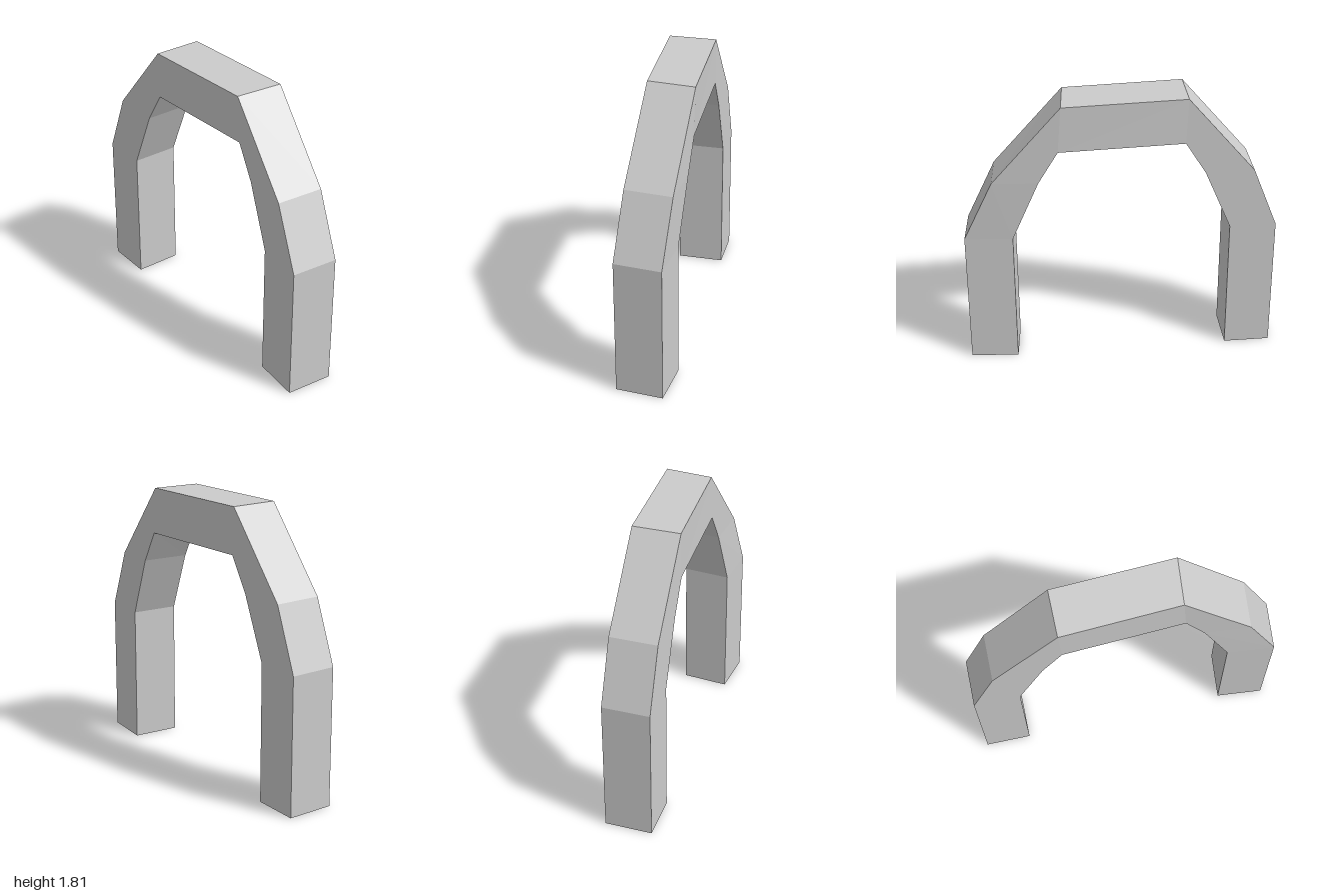
import * as THREE from 'three';

// Cross-sections along the arch: outer x, inner x, y outer, y inner,
// then front z (outer, inner) and the offset (x, z) from front edge to back edge.
const SECTIONS = [
  { xo: -1, xi: -0.7, yo: 0, yi: 0, zo: 0.165, zi: 0.165, back: [0, -0.305] },
  { xo: -1, xi: -0.7, yo: 0.9, yi: 0.9, zo: 0.165, zi: 0.165, back: [0, -0.305] },
  { xo: -0.843, xi: -0.53, yo: 1.3, yi: 1.3, zo: 0.165, zi: 0.165, back: [0, -0.305] },
  { xo: -0.413, xi: -0.4, yo: 1.81, yi: 1.51, zo: 0.165, zi: 0.165, back: [0, -0.305] },
  // the far half is turned slightly about the vertical
  { xo: 0.347, xi: 0.37, yo: 1.81, yi: 1.51, zo: 0.122, zi: 0.124, back: [0.028, -0.303] },
  { xo: 0.788, xi: 0.497, yo: 1.3, yi: 1.3, zo: 0.157, zi: 0.134, back: [0.026, -0.305] },
  { xo: 0.973, xi: 0.667, yo: 0.9, yi: 0.9, zo: 0.18, zi: 0.153, back: [0.027, -0.303] },
  { xo: 0.973, xi: 0.667, yo: 0, yi: 0, zo: 0.18, zi: 0.153, back: [0.027, -0.303] },
];

// Four corners: outer front, outer back, inner back, inner front
function ring({ xo, xi, yo, yi, zo, zi, back: [bx, bz] }) {
  return [
    [xo, yo, zo],
    [xo + bx, yo, zo + bz],
    [xi + bx, yi, zi + bz],
    [xi, yi, zi],
  ];
}

// Skin consecutive rings with flat quads and close both ends
function loft(rings) {
  const pos = [];
  const quad = (a, b, c, d) => pos.push(...a, ...b, ...c, ...a, ...c, ...d);
  for (let i = 0; i < rings.length - 1; i++) {
    const p = rings[i], q = rings[i + 1];
    for (let k = 0; k < 4; k++) {
      const n = (k + 1) % 4;
      quad(p[k], q[k], q[n], p[n]);
    }
  }
  quad(...rings[0]);
  quad(...[...rings[rings.length - 1]].reverse());
  const geometry = new THREE.BufferGeometry();
  geometry.setAttribute('position', new THREE.Float32BufferAttribute(pos, 3));
  geometry.computeVertexNormals();
  return geometry;
}

export function createModel() {
  const group = new THREE.Group();
  group.name = 'archway';
  const material = new THREE.MeshStandardMaterial({ color: 0xcccccc, flatShading: true });
  // Both legs, shoulders and the top beam form one continuous arch
  const arch = new THREE.Mesh(loft(SECTIONS.map(ring)), material);
  arch.name = 'arch';
  group.add(arch);
  return group;
}
